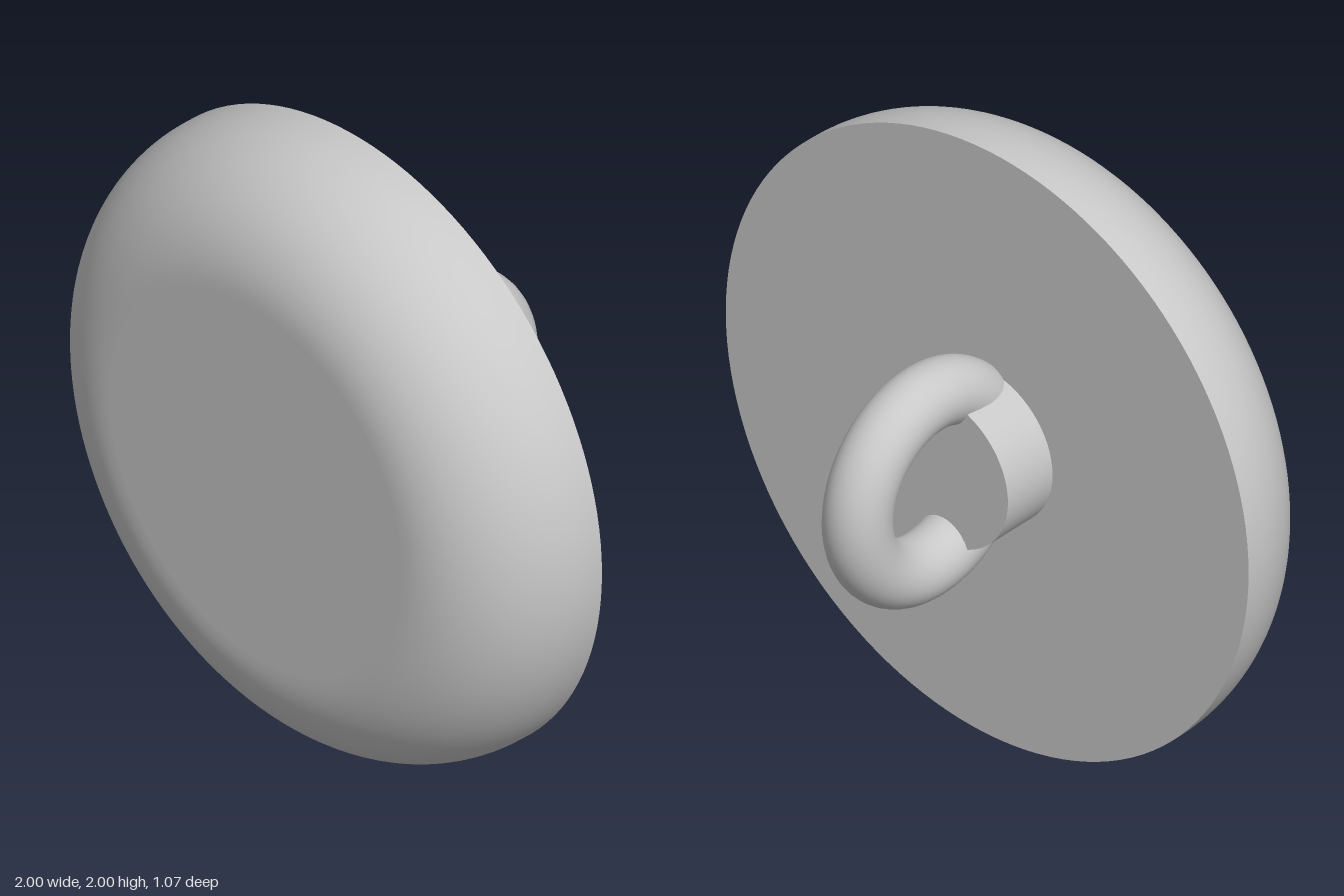
import * as THREE from 'three';

const BACK = 0.12, FRONT = 0.535, RADIUS = 1, ROUND = 0.385;

export function createModel() {
  const group = new THREE.Group();
  const grey = new THREE.MeshStandardMaterial({ color: 0xc8c8c8 });
  grey.name = 'plain grey';

  const add = (name, geometry, z) => {
    const mesh = new THREE.Mesh(geometry, grey);
    mesh.name = name;
    mesh.position.set(0, 1, z);
    group.add(mesh);
  };

  // Rounded cap: short straight rim, quarter-round edge, flat face
  const profile = [new THREE.Vector2(RADIUS, BACK)];
  const steps = 24;
  for (let i = 0; i <= steps; i++) {
    const a = (i / steps) * Math.PI / 2;
    profile.push(new THREE.Vector2(
      RADIUS - ROUND + ROUND * Math.cos(a),
      FRONT - ROUND + ROUND * Math.sin(a)
    ));
  }
  profile.push(new THREE.Vector2(RADIUS - ROUND - 0.01, FRONT), new THREE.Vector2(0, FRONT));
  add('buttonCap', new THREE.LatheGeometry(profile, 128).rotateX(Math.PI / 2), 0);

  // Flat back of the cap
  add('capBack', new THREE.CircleGeometry(RADIUS, 128).rotateY(Math.PI), BACK);

  // Short round stem, sunk slightly into the cap
  const stemEnd = -0.07, stemDepth = 0.22;
  add('shankStem',
    new THREE.CylinderGeometry(0.25, 0.25, stemDepth, 64).rotateX(Math.PI / 2),
    stemEnd + stemDepth / 2);

  // Upright sewing loop
  add('shankLoop', new THREE.TorusGeometry(0.283, 0.102, 32, 96).rotateY(Math.PI / 2), -0.15);

  return group;
}
